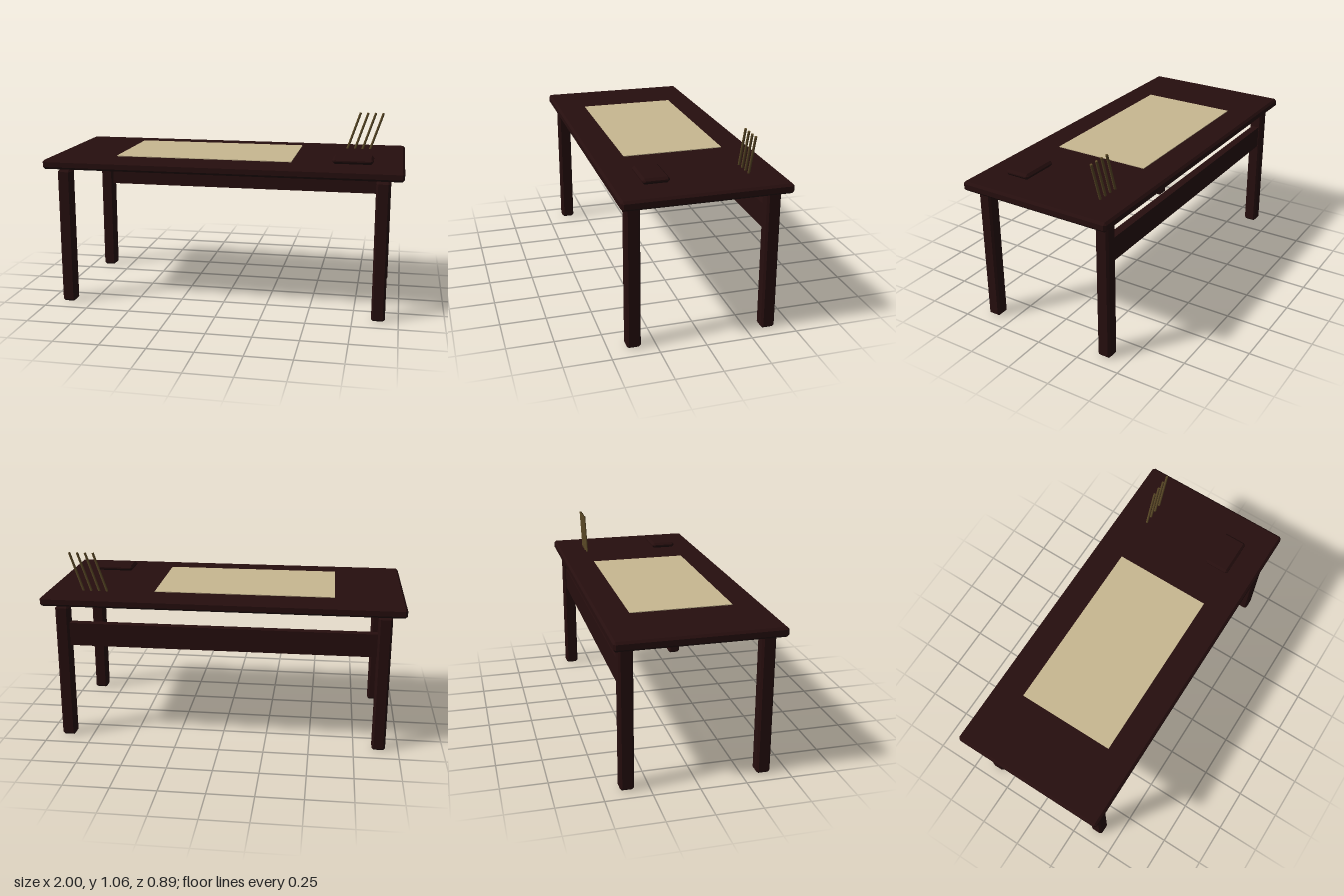
import * as THREE from 'three';
import { ConvexGeometry } from 'three/addons/geometries/ConvexGeometry.js';

const wood = new THREE.MeshStandardMaterial({ color: 0x260e0e });
wood.name = 'darkWood';
const parchment = new THREE.MeshStandardMaterial({ color: 0xc8b891 });
parchment.name = 'parchment';
const bamboo = new THREE.MeshStandardMaterial({ color: 0x5a4826 });
bamboo.name = 'bamboo';

// Box with every edge cut by a straight chamfer c
function chamferBox(w, h, d, c) {
  const points = [];
  const [x, y, z] = [w / 2, h / 2, d / 2];
  for (const sx of [-1, 1]) for (const sy of [-1, 1]) for (const sz of [-1, 1]) {
    points.push(
      new THREE.Vector3(sx * x, sy * (y - c), sz * (z - c)),
      new THREE.Vector3(sx * (x - c), sy * y, sz * (z - c)),
      new THREE.Vector3(sx * (x - c), sy * (y - c), sz * z)
    );
  }
  return new ConvexGeometry(points);
}

export function createModel() {
  const model = new THREE.Group();
  model.name = 'writingTable';
  const add = (name, geometry, material, x, y, z) => {
    const mesh = new THREE.Mesh(geometry, material);
    mesh.name = name;
    mesh.position.set(x, y, z);
    model.add(mesh);
    return mesh;
  };

  // Table top
  add('tableTop', chamferBox(2, 0.052, 0.886, 0.012), wood, 0, 0.814, 0);

  // Four legs, just short of the top
  const leg = chamferBox(0.075, 0.778, 0.075, 0.011);
  for (const x of [-1, 1]) for (const z of [-1, 1]) {
    add((z > 0 ? 'front' : 'back') + (x > 0 ? 'Left' : 'Right') + 'Leg', leg, wood, x * 0.89, 0.389, z * 0.368);
  }

  // Rail between the back legs
  add('backRail', new THREE.BoxGeometry(1.74, 0.13, 0.045), wood, 0, 0.615, -0.368);

  // Sheet lying on the top
  add('paperSheet', new THREE.BoxGeometry(1, 0.004, 0.555), parchment, -0.115, 0.847, -0.002);

  // Ink stone
  add('inkStone', chamferBox(0.222, 0.031, 0.142, 0.012), wood, 0.72, 0.862, 0.221);

  // Row of leaning brushes
  const lean = new THREE.Vector3(0.074, 0.222, 0);
  const brush = new THREE.CylinderGeometry(0.007, 0.007, lean.length(), 8);
  for (let i = 0; i < 4; i++) {
    const mesh = add('brush' + (i + 1), brush, bamboo, 0.694 + i * 0.045, 0.946, -0.277);
    mesh.rotation.z = -Math.atan2(lean.x, lean.y);
  }

  return model;
}
